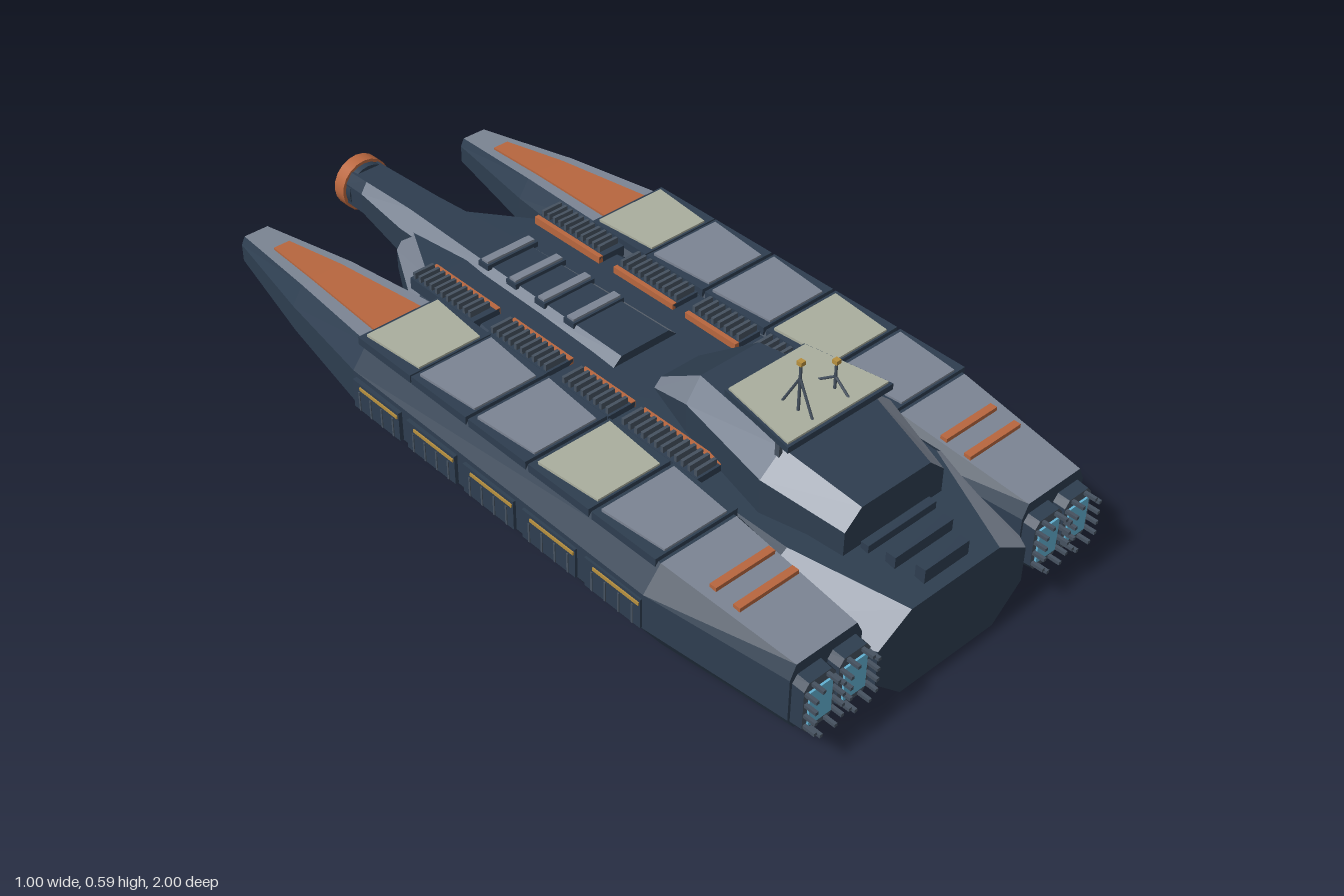
import * as THREE from 'three';

const mat = (name, color) => {
  const m = new THREE.MeshStandardMaterial({ color });
  m.name = name;
  return m;
};

export function createModel() {
  const root = new THREE.Group();
  root.name = 'starship';
  const navy = mat('navy hull', 0x2e3e50), grey = mat('grey armour', 0x7c8594), pale = mat('pale plate', 0xabaf9f);
  const orange = mat('orange trim', 0xb9673f), cyan = mat('cyan glow', 0x62b2d4), gold = mat('gold light', 0xb8903f);
  const steel = mat('dark steel', 0x465260);

  const add = (name, geo, m, x = 0, y = 0, z = 0, parent = root) => {
    const mesh = new THREE.Mesh(geo, m);
    mesh.name = name;
    mesh.position.set(x, y, z);
    parent.add(mesh);
    return mesh;
  };
  const box = (name, m, w, h, d, x, y, z) => add(name, new THREE.BoxGeometry(w, h, d), m, x, y, z);

  // Cross-sections, anticlockwise seen from the front
  const oct = (z, cx, wt, wm, wb, y0, y1, y2, y3) =>
    [[wb, y0], [wm, y1], [wm, y2], [wt, y3], [-wt, y3], [-wm, y2], [-wm, y1], [-wb, y0]]
      .map(([x, y]) => new THREE.Vector3(cx + x, y, z));
  const rect = (z, cx, w, y0, y1) =>
    [[w, y0], [w, y1], [-w, y1], [-w, y0]].map(([x, y]) => new THREE.Vector3(cx + x, y, z));

  // Skin between sections ordered front to back; pick(side, segment) chooses the colour
  const loft = (name, sections, pick) => {
    const lists = new Map();
    const put = (m, ...v) => {
      if (!lists.has(m)) lists.set(m, []);
      lists.get(m).push(...v);
    };
    const n = sections[0].length;
    sections.forEach((A, s) => {
      const B = sections[s + 1];
      if (!B) return;
      for (let i = 0; i < n; i++) {
        const j = (i + 1) % n;
        put(pick(i, s), A[i], B[i], B[j], A[i], B[j], A[j]);
      }
    });
    const first = sections[0], last = sections[sections.length - 1];
    for (let i = 1; i < n - 1; i++) {
      put(pick(-1, 0), first[0], first[i], first[i + 1]);
      put(pick(-2, 0), last[0], last[i + 1], last[i]);
    }
    const g = new THREE.BufferGeometry(), pts = [], mats = [];
    for (const [m, v] of lists) {
      g.addGroup(pts.length, v.length, mats.length);
      mats.push(m);
      pts.push(...v);
    }
    g.setFromPoints(pts);
    g.computeVertexNormals();
    return add(name, g, mats);
  };
  const chamfer = (i) => i === 2 || i === 4;

  // Central hull
  loft('mainHull', [
    oct(0.97, 0, 0.13, 0.22, 0.14, 0.025, 0.1, 0.19, 0.245),
    oct(0.72, 0, 0.22, 0.36, 0.23, 0, 0.105, 0.2, 0.29),
    oct(0, 0, 0.23, 0.36, 0.22, 0.03, 0.12, 0.2, 0.295),
    oct(-0.47, 0, 0.18, 0.23, 0.16, 0.07, 0.13, 0.23, 0.29),
    oct(-0.72, 0, 0.045, 0.09, 0.06, 0.12, 0.15, 0.2, 0.26),
  ], (i, s) => (chamfer(i) && (s === 0 || s === 3) ? grey : navy));

  // Dorsal spine and tail boom
  loft('spine', [
    oct(0.07, 0, 0.07, 0.11, 0.1, 0.2, 0.22, 0.28, 0.315),
    oct(-0.4, 0, 0.06, 0.09, 0.08, 0.16, 0.2, 0.275, 0.31),
    oct(-0.72, 0, 0.042, 0.075, 0.045, 0.14, 0.18, 0.255, 0.297),
    oct(-0.9, 0, 0.04, 0.058, 0.03, 0.18, 0.205, 0.26, 0.288),
    oct(-0.97, 0, 0.04, 0.058, 0.03, 0.18, 0.205, 0.26, 0.285),
  ], (i, s) => (chamfer(i) && s < 3 ? grey : navy));
  for (const z of [-0.4, -0.3, -0.2, -0.1]) {
    box('spineRib', navy, 0.15, 0.014, 0.034, 0, 0.313, z);
    box('spineRibTop', grey, 0.14, 0.006, 0.022, 0, 0.323, z);
  }
  const ring = (name, m, r, d, z) =>
    add(name, new THREE.CylinderGeometry(r, r, d, 20).rotateX(Math.PI / 2), m, 0, 0.234, z);
  ring('tailRing', orange, 0.07, 0.036, -0.98);
  ring('tailCollar', navy, 0.062, 0.02, -0.955);
  ring('tailLight', gold, 0.05, 0.008, -0.997);

  // Superstructure
  loft('superstructure', [
    oct(0.8, 0, 0.1, 0.145, 0.145, 0.24, 0.25, 0.335, 0.376),
    oct(0.61, 0, 0.13, 0.19, 0.19, 0.25, 0.27, 0.375, 0.425),
    oct(0.33, 0, 0.085, 0.125, 0.13, 0.25, 0.27, 0.365, 0.42),
    oct(0.18, 0, 0.055, 0.075, 0.085, 0.25, 0.27, 0.295, 0.315),
  ], (i) => (chamfer(i) ? grey : navy));

  // Bridge: trapezoid neck, roof slab and pale roof
  const slab = (name, m, front, back, y0, y1, z0, z1) =>
    loft(name, [rect(z0, 0, front, y0, y1), rect(z1, 0, back, y0, y1)], () => m);
  slab('bridgeNeck', navy, 0.11, 0.085, 0.41, 0.45, 0.62, 0.45);
  slab('bridgeRoof', navy, 0.152, 0.115, 0.443, 0.458, 0.645, 0.43);
  slab('bridgeRoofPlate', pale, 0.145, 0.11, 0.458, 0.463, 0.638, 0.437);
  box('bridgeRearLight', gold, 0.15, 0.008, 0.006, 0, 0.435, 0.448);
  for (const s of [-1, 1]) for (const x of [0.08, 0.14])
    box('bridgeStrut', steel, 0.01, 0.034, 0.012, s * x, 0.428, 0.61);

  // Braced antennas
  const rod = (name, a, b, r) => {
    const d = b.clone().sub(a);
    const mesh = add(name, new THREE.CylinderGeometry(r, r, d.length(), 6), steel);
    mesh.position.copy(a).add(b).multiplyScalar(0.5);
    mesh.quaternion.setFromUnitVectors(new THREE.Vector3(0, 1, 0), d.normalize());
  };
  for (const [x, top] of [[-0.057, 0.578], [0.048, 0.528]]) {
    const v = (y, z) => new THREE.Vector3(x, y, z);
    rod('antennaMast', v(0.46, 0.58), v(top, 0.58), 0.0035);
    for (const dz of [-0.045, 0.04]) rod('antennaBrace', v(0.46, 0.58 + dz), v(top - 0.035, 0.58), 0.003);
    box('antennaCap', gold, 0.013, 0.01, 0.013, x, top + 0.003, 0.58);
  }

  // Bow steps
  box('bowStep', navy, 0.2, 0.045, 0.02, 0, 0.268, 0.815);
  box('bowStep', navy, 0.17, 0.035, 0.025, 0, 0.272, 0.87);
  box('bowStep', navy, 0.13, 0.035, 0.025, 0, 0.268, 0.93);

  for (const s of [-1, 1]) {
    // Side pod
    loft('pod', [
      oct(0.94, s * 0.335, 0.082, 0.098, 0.08, 0.1, 0.13, 0.235, 0.268),
      oct(0.6, s * 0.343, 0.102, 0.148, 0.098, 0.085, 0.16, 0.25, 0.305),
      oct(-0.35, s * 0.343, 0.1, 0.142, 0.095, 0.09, 0.16, 0.25, 0.305),
      oct(-0.65, s * 0.338, 0.07, 0.1, 0.065, 0.115, 0.17, 0.24, 0.285),
      oct(-0.95, s * 0.335, 0.033, 0.043, 0.03, 0.17, 0.185, 0.23, 0.25),
    ], (i, k) => (i === 3 && k !== 1 ? grey : navy));
    loft('nosePanel', [
      rect(-0.36, s * 0.34, 0.066, 0.3, 0.31),
      rect(-0.65, s * 0.337, 0.042, 0.281, 0.29),
      rect(-0.84, s * 0.335, 0.022, 0.258, 0.268),
    ], () => orange);

    // Pod deck tiles
    [[-0.275, pale], [-0.085, grey], [0.11, grey], [0.305, pale], [0.5, grey]].forEach(([z, m], k) => {
      box('deckTileBase', navy, 0.222, 0.02, 0.186, s * 0.342, 0.305, z);
      loft('deckTile', [
        rect(z + 0.088, s * 0.34, 0.084, 0.312, 0.32),
        rect(z - 0.08, s * 0.34, 0.098, 0.312, 0.322),
      ], () => m);
      // Side panel with light strip and shutters
      const pz = 0.515 - (4 - k) * 0.193;
      box('sidePanel', navy, 0.016, 0.075, 0.165, s * 0.488, 0.2, pz);
      box('sidePanelLight', gold, 0.006, 0.008, 0.135, s * 0.496, 0.226, pz + 0.012);
      for (let j = 0; j < 4; j++)
        box('sideShutter', steel, 0.006, 0.05, 0.005, s * 0.495, 0.188, pz - 0.06 + j * 0.04);
    });

    // Orange stripes on the sloping front deck
    for (const [z, y] of [[0.71, 0.294], [0.775, 0.287]])
      box('podStripe', orange, 0.16, 0.012, 0.018, s * 0.332, y + 0.002, z);

    // Twin engines with bolts
    for (const x of [0.287, 0.382]) {
      const e = s * x;
      loft('engineFrame', [
        oct(0.97, e, 0.03, 0.043, 0.03, 0.108, 0.125, 0.222, 0.238),
        oct(0.9, e, 0.033, 0.046, 0.033, 0.1, 0.12, 0.228, 0.245),
      ], (i) => (i === -1 ? steel : navy));
      box('engineGlow', cyan, 0.062, 0.088, 0.008, e, 0.172, 0.971);
      for (const bx of [-0.037, 0.037]) for (const by of [0.13, 0.158, 0.186, 0.214])
        box('engineBolt', steel, 0.008, 0.008, 0.04, e + bx, by, 0.98);
      for (const bx of [-0.02, 0.02]) for (const by of [0.114, 0.231])
        box('engineBolt', steel, 0.008, 0.008, 0.04, e + bx, by, 0.98);
    }

    // Radiator racks between hull and pods
    for (const [z0, z1] of [[-0.48, -0.25], [-0.2, 0.0], [0.04, 0.2], [0.23, 0.47]]) {
      const len = z1 - z0, mid = (z0 + z1) / 2;
      box('rackBase', navy, 0.075, 0.03, len, s * 0.187, 0.293, mid);
      box('rackRail', orange, 0.012, 0.02, len, s * 0.153, 0.3, mid);
      for (let z = z0 + 0.01; z < z1; z += 0.02)
        box('rackFin', steel, 0.056, 0.02, 0.008, s * 0.192, 0.314, z);
    }
  }
  return root;
}
